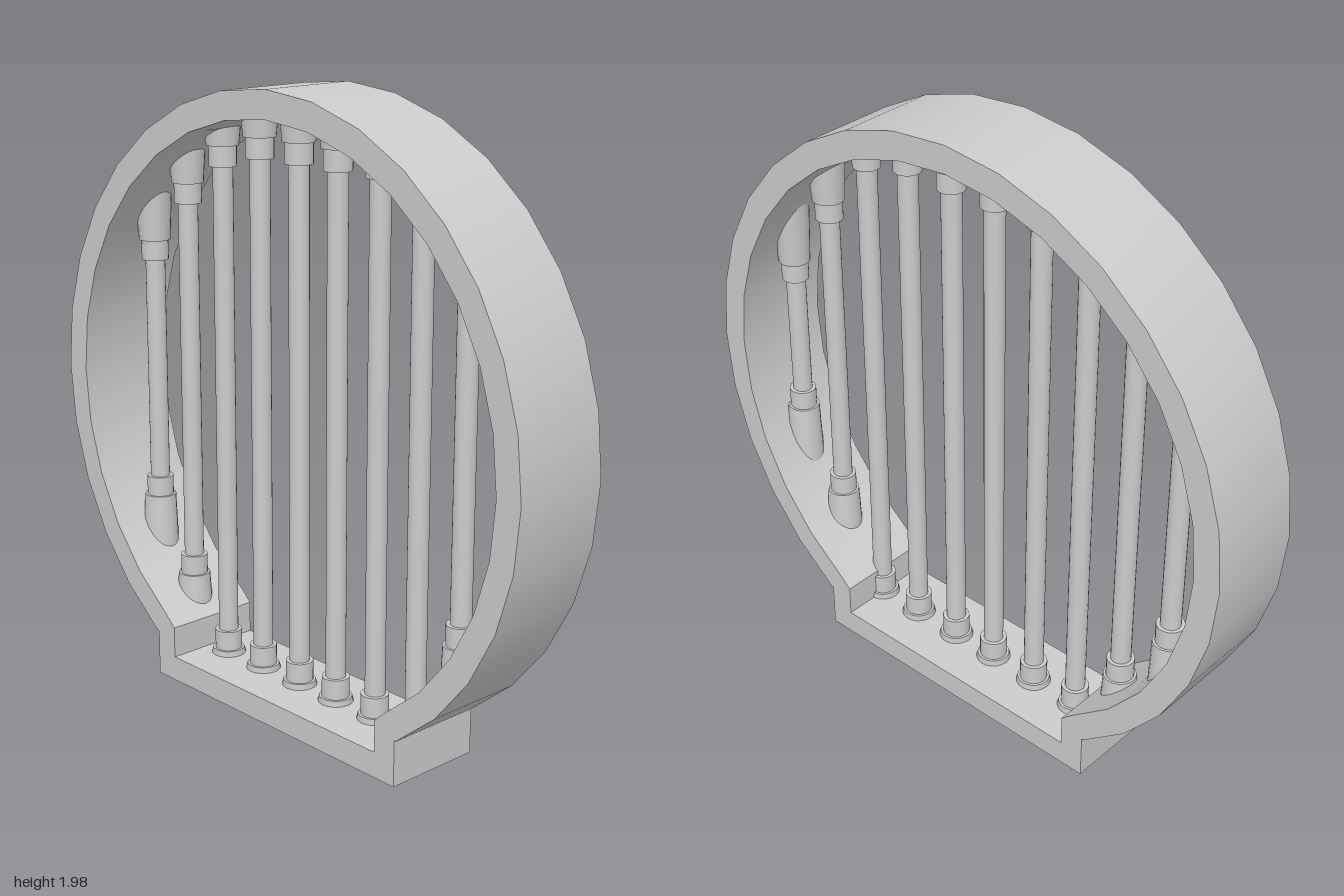
import * as THREE from 'three';
import { toCreasedNormals } from 'three/addons/utils/BufferGeometryUtils.js';

const CY = 0.98; // height of the ring centre
const DEPTH = 0.33;
const SIDES = 32;

// Open arc of the ring, running over the top from one foot to the other
function arcPoints(radius) {
  const points = [];
  for (let i = 3; i <= SIDES - 3; i++) {
    const a = (i / SIDES) * Math.PI * 2;
    points.push(new THREE.Vector2(radius * Math.sin(a), CY - radius * Math.cos(a)));
  }
  return points;
}

// Keyhole outline: arc closed by a rectangular foot
function outline(radius, footX, footTop, footY) {
  return [
    new THREE.Vector2(footX, footY),
    new THREE.Vector2(footX, footTop),
    ...arcPoints(radius),
    new THREE.Vector2(-footX, footTop),
    new THREE.Vector2(-footX, footY),
  ];
}

export function createModel() {
  const model = new THREE.Group();
  const material = new THREE.MeshStandardMaterial({ color: 0xcccccc });

  function add(parent, geometry, name) {
    const mesh = new THREE.Mesh(geometry, material);
    mesh.name = name;
    parent.add(mesh);
  }

  // Round frame with flat foot
  const shape = new THREE.Shape(outline(1, 0.55, 0.15, 0));
  shape.holes.push(new THREE.Path(outline(0.913, 0.468, 0.185, 0.082)));
  const frame = new THREE.ExtrudeGeometry(shape, { depth: DEPTH, bevelEnabled: false });
  frame.translate(0, 0, -DEPTH / 2);
  add(model, toCreasedNormals(frame, 0.5), 'frame');

  function cylinder(x, y0, y1, r0, r1) {
    const g = new THREE.CylinderGeometry(r1, r0, y1 - y0, 20);
    return g.translate(x, (y0 + y1) / 2, 0);
  }

  // Socket whose far end follows the curve of the frame and sinks into it
  function socket(x, y, dir) {
    const far = y + dir * 0.1;
    const g = dir > 0 ? cylinder(x, y, far, 0.051, 0.059) : cylinder(x, far, y, 0.059, 0.052);
    const p = g.attributes.position;
    const onFloor = dir < 0 && Math.abs(x) < 0.5;
    for (let i = 0; i < p.count; i++) {
      if ((p.getY(i) - y) * dir < 0.05) continue;
      const px = p.getX(i);
      p.setY(i, onFloor ? 0.07 : CY + dir * Math.sqrt(0.935 ** 2 - px * px));
    }
    return g;
  }

  // Bars: x, lower end of the shaft, upper end of the shaft
  const bars = [
    [-0.735, 0.617, 1.36], [-0.56, 0.382, 1.567], [-0.386, 0.165, 1.703],
    [-0.212, 0.165, 1.746], [-0.037, 0.165, 1.748], [0.13, 0.165, 1.746],
    [0.304, 0.165, 1.746], [0.475, 0.165, 1.703], [0.65, 0.5, 1.468],
    [0.826, 0.767, 1.19],
  ];
  const COLLAR = 0.065;
  bars.forEach(([x, low, high], i) => {
    const bar = new THREE.Group();
    bar.name = `bar${i + 1}`;
    add(bar, cylinder(x, low - 0.01, high + 0.01, 0.032, 0.032), 'shaft');
    add(bar, cylinder(x, low - COLLAR, low, 0.044, 0.044), 'lowerCollar');
    add(bar, cylinder(x, high, high + COLLAR, 0.044, 0.044), 'upperCollar');
    add(bar, socket(x, low - COLLAR, -1), 'lowerSocket');
    add(bar, socket(x, high + COLLAR, 1), 'upperSocket');
    model.add(bar);
  });

  return model;
}
